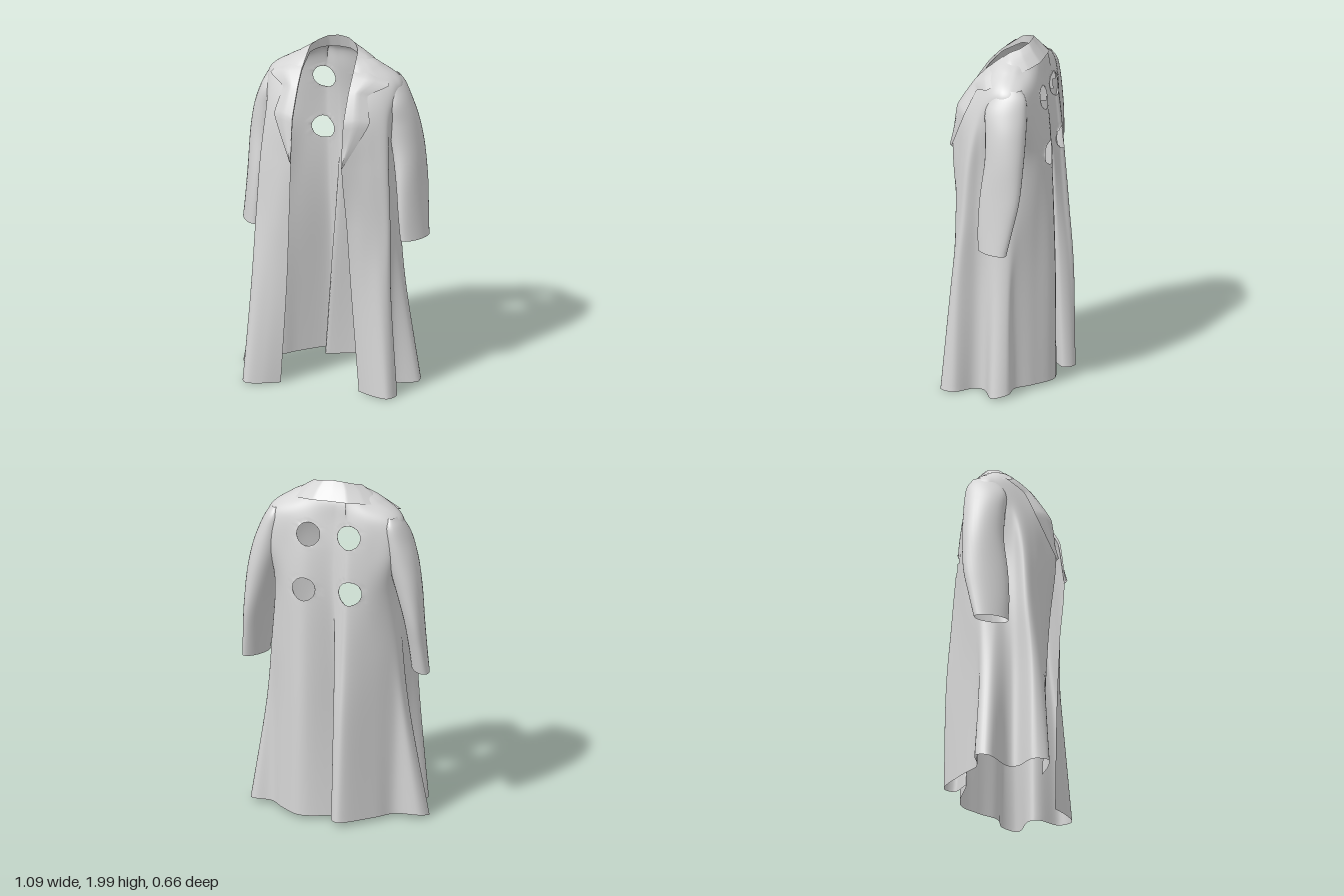
import * as THREE from 'three';

const cloth = new THREE.MeshStandardMaterial({ color: 0xd6d6d6, side: THREE.DoubleSide });
cloth.name = 'grey cloth';

// Half outlines of the coat, front edge to centre back, as [x, z] at each height
const skirt = [
  { y: 0.01, p: [[.23, .25], [.33, .3], [.42, .315], [.45, .23], [.37, .14], [.38, .07], [.5, 0], [.47, -.09], [.36, -.1], [.27, -.19], [.13, -.275], [0, -.2]] },
  { y: 0.6, p: [[.19, .265], [.28, .275], [.37, .27], [.41, .22], [.36, .13], [.365, .07], [.41, 0], [.4, -.07], [.35, -.1], [.26, -.19], [.13, -.275], [0, -.19]] },
  { y: 1.0, p: [[.17, .285], [.26, .27], [.35, .23], [.395, .19], [.365, .12], [.36, .06], [.37, 0], [.37, -.07], [.33, -.13], [.25, -.2], [.13, -.265], [0, -.2]] },
  { y: 1.35, p: [[.15, .315], [.23, .265], [.31, .22], [.375, .17], [.355, .11], [.345, .06], [.345, 0], [.35, -.07], [.32, -.14], [.24, -.21], [.13, -.25], [0, -.215]] },
];
const torso = [
  { y: 1.6, p: [[.15, .285], [.22, .24], [.29, .19], [.35, .135], [.365, .09], [.37, .03], [.375, -.02], [.38, -.09], [.35, -.16], [.25, -.195], [.13, -.228], [0, -.205]] },
  { y: 1.78, p: [[.15, .18], [.21, .15], [.27, .115], [.32, .08], [.36, .04], [.38, 0], [.39, -.04], [.38, -.09], [.34, -.14], [.24, -.175], [.12, -.19], [0, -.18]] },
  { y: 1.88, p: [[.15, .09], [.18, .08], [.215, .06], [.24, .04], [.26, .01], [.27, -.02], [.265, -.05], [.25, -.08], [.21, -.11], [.16, -.14], [.09, -.16], [0, -.165]] },
  { y: 1.93, p: [[.145, .03], [.15, .02], [.155, .01], [.16, 0], [.165, -.015], [.165, -.03], [.16, -.05], [.15, -.065], [.13, -.09], [.1, -.11], [.06, -.13], [0, -.135]] },
];

// Full outline: left half, centre pleat that deepens towards the hem, right half
function outline({ y, p }) {
  // The hem rises a little at the back
  const v = (x, z) => new THREE.Vector3(x, y < .1 && z < -.05 ? y + .02 : y, z);
  const f = Math.max(0, (1.45 - y) / 1.45), lobe = Math.min(1, 1.5 * f);
  const half = p.slice(0, 11), zc = p[11][1];
  const left = half.map(([x, z]) => v(x, z));
  const pleat = [v(-.11 * f, zc), v(-.045 + .005 * f, zc - .07 * lobe), v(-.09 + .02 * f, zc - .01 - .115 * lobe)];
  const right = half.map(([x, z], i) =>
    v(-x - (i === 6 || i === 7 ? .03 * f * f : 0), z - (i > 9 ? .04 * lobe : 0))).reverse();
  return [...left, ...pleat, ...right];
}

// Sheet through rows of points (tension 0 gives straight runs); rejected vertices leave openings
function sheet(rows, nu, nv, { tension = .5, keep = () => true } = {}) {
  const curve = pts => new THREE.CatmullRomCurve3(pts, false, 'catmullrom', tension);
  const columns = rows[0].map((_, i) => curve(rows.map(r => r[i])));
  const pos = [], alive = [], index = [];
  for (let j = 0; j <= nv; j++) {
    const row = curve(columns.map(c => c.getPoint(j / nv)));
    for (let i = 0; i <= nu; i++) {
      const q = row.getPoint(i / nu);
      alive.push(keep(q));
      pos.push(q.x, q.y, q.z);
    }
  }
  for (let j = 0; j < nv; j++) for (let i = 0; i < nu; i++) {
    const a = j * (nu + 1) + i, b = a + 1, c = a + nu + 1, d = c + 1;
    if (alive[a] && alive[b] && alive[c] && alive[d]) index.push(a, b, c, b, d, c);
  }
  const g = new THREE.BufferGeometry();
  g.setAttribute('position', new THREE.Float32BufferAttribute(pos, 3));
  g.setIndex(index);
  g.computeVertexNormals();
  return g;
}

// Sleeve rings: [centre x, y, centre z, radius x, radius z, slant of x against z]
const sleeveRings = [
  [.335, 1.81, -.06, .03, .07, 0], [.345, 1.76, -.06, .056, .1, 0], [.365, 1.68, -.05, .075, .12, 0],
  [.392, 1.56, -.055, .088, .118, .05], [.425, 1.4, -.055, .081, .116, .15], [.452, 1.2, -.037, .064, .122, .25],
  [.467, 1.03, -.015, .056, .11, .33], [.48, .88, 0, .052, .092, .42],
];

// Armhole: the body is open where the sleeve joins it
function insideSleeve(q) {
  if (q.y < 1.4 || q.y > 1.76) return false;
  const k = sleeveRings.findIndex(r => r[1] <= q.y);
  const a = sleeveRings[k - 1], b = sleeveRings[k];
  const t = (a[1] - q.y) / (a[1] - b[1]);
  const [cx, , cz, rx, rz] = a.map((n, i) => n + (b[i] - n) * t);
  return Math.hypot((Math.abs(q.x) - cx) / rx, (q.z - cz) / rz) < .85;
}

// Four round openings in the back: vertices near a rim snap onto it
const holes = [[.118, 1.7], [-.118, 1.7], [.135, 1.38], [-.135, 1.38]];
function keepBody(q) {
  if (insideSleeve(q)) return false;
  if (q.z > -.1) return true;
  for (const [hx, hy] of holes) {
    const dx = q.x - hx, dy = q.y - hy, d = Math.hypot(dx, dy), r = .067;
    if (d < .72 * r) return false;
    if (d < 1.2 * r) {
      q.x = hx + dx * r / d;
      q.y = hy + dy * r / d;
      return true;
    }
  }
  return true;
}

function sleeveGeometry(side) {
  const rows = sleeveRings.map(([cx, y, cz, rx, rz, slant]) =>
    Array.from({ length: 17 }, (_, i) => {
      const a = side * (i / 16 * 2 - 1) * Math.PI, dz = rz * Math.sin(a);
      return new THREE.Vector3(side * (cx + rx * Math.cos(a) - slant * dz), y, cz + dz);
    }));
  // The part that would run inside the chest is left out
  return sheet(rows, 32, 42, { keep: q => q.y < 1.4 || Math.abs(q.x) > .315 });
}

// Collar and lapel: stand, fold line and outer edge, from centre back to lapel foot
const foldLine = [[0, 2, -.107], [.06, 1.993, -.1], [.11, 1.975, -.065], [.14, 1.955, -.01], [.15, 1.86, .115], [.15, 1.78, .19], [.15, 1.62, .29], [.15, 1.37, .322]];
const outerEdge = [[0, 1.9, -.182], [.1, 1.897, -.178], [.19, 1.885, -.135], [.26, 1.865, -.07], [.35, 1.8, .065], [.25, 1.755, .15], [.28, 1.61, .215], [.155, 1.37, .322]];
const standLine = [[0, 1.92, -.135], [.06, 1.92, -.125], [.11, 1.92, -.08], [.14, 1.915, -.01], [.15, 1.85, .105], [.15, 1.77, .18], [.15, 1.61, .28], [.15, 1.36, .315]];
function strip(a, b, bow) {
  const full = line => [
    ...line.slice(1).reverse().map(([x, y, z]) => new THREE.Vector3(-x, y, z)),
    ...line.map(([x, y, z]) => new THREE.Vector3(x, y, z)),
  ];
  const A = full(a), B = full(b);
  // The middle bows outward to lie over the cloth
  const mid = A.map((p, i) => p.clone().lerp(B[i], .5).add(new THREE.Vector3(0, bow, bow)));
  return sheet([A, mid, B], 84, 6, { tension: .18 });
}

export function createModel() {
  const coat = new THREE.Group();
  coat.name = 'openLongCoat';
  const add = (name, geometry) => {
    const mesh = new THREE.Mesh(geometry, cloth);
    mesh.name = name;
    coat.add(mesh);
  };
  add('coatBody', sheet([...skirt, ...torso].map(outline), 144, 119, { keep: keepBody }));
  add('leftSleeve', sleeveGeometry(1));
  add('rightSleeve', sleeveGeometry(-1));
  add('collarAndLapels', strip(foldLine, outerEdge, .01));
  add('collarStand', strip(standLine, foldLine, 0));
  return coat;
}
